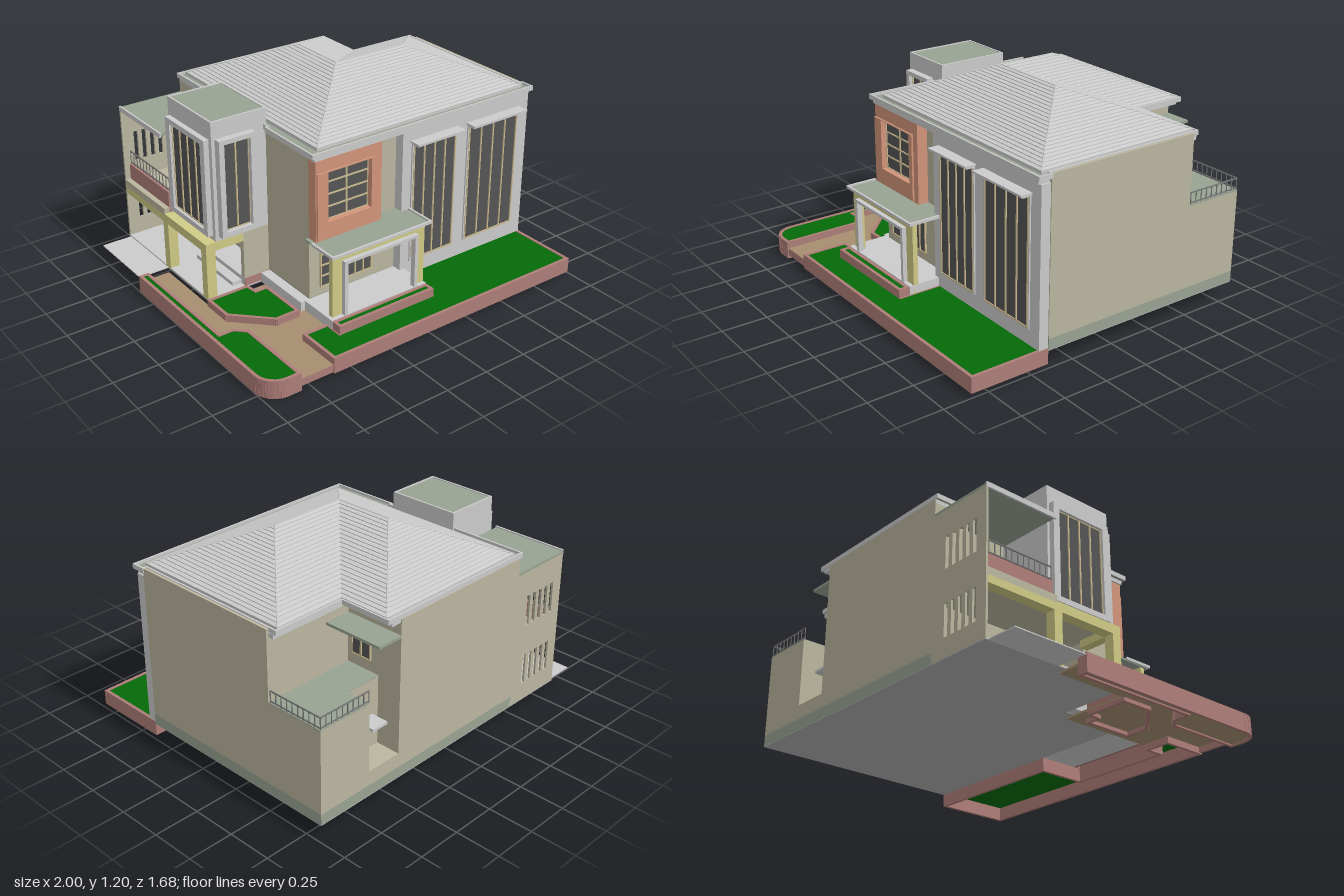
import * as THREE from 'three';

const mats = {};
const mat = (c) => (mats[c] ??= new THREE.MeshStandardMaterial({ color: c, side: THREE.DoubleSide }));
const GREY = 0xcccccc, WALL = 0xbab69f, FLAT = 0x98a392, YELLOW = 0xd0cb86, ORANGE = 0xd2957a;
const BRICK = 0xae7e78, GRASS = 0x056a08, PATH = 0xa68e70, GLASS = 0x555555, TRIM = 0xcbb98f, DARK = 0x777777;

function add(parent, name, color, geo) {
  const m = new THREE.Mesh(geo, mat(color));
  m.name = name;
  parent.add(m);
  return m;
}

// Box given by its limits on each axis
function box(parent, name, color, x0, x1, y0, y1, z0, z1) {
  const m = add(parent, name, color, new THREE.BoxGeometry(x1 - x0, y1 - y0, z1 - z0));
  m.position.set((x0 + x1) / 2, (y0 + y1) / 2, (z0 + z1) / 2);
  return m;
}

// Upright prism over a floor plan of [x, z] points
function prism(parent, name, color, plan, y0, y1) {
  const s = new THREE.Shape(plan.map(([x, z]) => new THREE.Vector2(x, -z)));
  const g = new THREE.ExtrudeGeometry(s, { depth: y1 - y0, bevelEnabled: false });
  g.rotateX(-Math.PI / 2).translate(0, y0, 0);
  return add(parent, name, color, g);
}

// Wall facing z with rectangular holes, each rectangle [x0, x1, y0, y1]
function pierced(parent, name, color, r, holes, z0, z1) {
  const rect = ([a, b, c, d]) => [[a, c], [b, c], [b, d], [a, d]].map((p) => new THREE.Vector2(...p));
  const s = new THREE.Shape(rect(r));
  s.holes = holes.map((h) => new THREE.Path(rect(h)));
  const g = new THREE.ExtrudeGeometry(s, { depth: z1 - z0, bevelEnabled: false });
  return add(parent, name, color, g.translate(0, 0, z0));
}

// Glazed window with glazing bars, facing +z before turning
function pane(parent, name, w, h, cols, rows, x, y, z, turn = 0) {
  const g = new THREE.Group();
  g.name = name;
  box(g, 'glass', GLASS, -w / 2, w / 2, -h / 2, h / 2, -0.004, 0.004);
  for (let i = 0; i <= cols; i++) {
    const u = -w / 2 + (w * i) / cols;
    box(g, 'uprightBar', TRIM, u - 0.004, u + 0.004, -h / 2, h / 2, 0, 0.01);
  }
  for (let i = 0; i <= rows; i++) {
    const v = -h / 2 + (h * i) / rows;
    box(g, 'crossBar', TRIM, -w / 2, w / 2, v - 0.004, v + 0.004, 0, 0.009);
  }
  g.position.set(x, y, z);
  g.rotation.y = turn;
  parent.add(g);
}

// Railing between two floor points
function railing(parent, x0, z0, x1, z1, y0, y1) {
  const len = Math.hypot(x1 - x0, z1 - z0), g = new THREE.Group(), n = Math.round(len / 0.035);
  g.name = 'railing';
  for (const y of [y0 + 0.012, y1 - 0.003]) box(g, 'rail', DARK, 0, len, y - 0.003, y + 0.003, -0.003, 0.003);
  for (let i = 0; i <= n; i++) box(g, 'baluster', DARK, (len * i) / n - 0.002, (len * i) / n + 0.002, y0, y1, -0.002, 0.002);
  g.position.set(x0, 0, z0);
  g.rotation.y = -Math.atan2(z1 - z0, x1 - x0);
  parent.add(g);
}

// Thin upright strip along each edge of a closed plan
function edging(parent, name, color, plan, y0, y1, t) {
  plan.forEach(([x, z], i) => {
    const [X, Z] = plan[(i + 1) % plan.length], len = Math.hypot(X - x, Z - z);
    const k = box(parent, name, color, -len / 2 - t / 2, len / 2 + t / 2, y0, y1, -t / 2, t / 2);
    k.position.set((x + X) / 2, (y0 + y1) / 2, (z + Z) / 2);
    k.rotation.y = -Math.atan2(Z - z, X - x);
  });
}

// Grass sheet with a kerb along its edge
function lawn(parent, plan, y0, y1) {
  prism(parent, 'lawn', GRASS, plan, y1 - 0.01, y1 - 0.004);
  edging(parent, 'kerb', BRICK, plan, y0, y1, 0.018);
}

// Roof slope in overlapping tile courses, from eave a-b to ridge d-c
function slope(parent, a, b, c, d) {
  const pos = [], N = 22, lift = 0.004;
  const at = (p, q, t, up) => [p[0] + (q[0] - p[0]) * t, 0.998 + 0.2 * t + up, p[1] + (q[1] - p[1]) * t];
  const quad = (p, q, r, s) => pos.push(...p, ...q, ...r, ...p, ...r, ...s);
  for (let i = 0; i < N; i++) {
    const t = i / N, u = (i + 1) / N;
    quad(at(a, d, t, 0), at(b, c, t, 0), at(b, c, t, lift), at(a, d, t, lift));
    quad(at(a, d, t, lift), at(b, c, t, lift), at(b, c, u, 0), at(a, d, u, 0));
  }
  const g = new THREE.BufferGeometry();
  g.setAttribute('position', new THREE.Float32BufferAttribute(pos, 3));
  g.computeVertexNormals();
  add(parent, 'roofSlope', GREY, g);
}

export function createModel() {
  const model = new THREE.Group();
  model.name = 'house';
  const part = (name) => {
    const g = new THREE.Group();
    g.name = name;
    model.add(g);
    return g;
  };

  // Main body, with a slot in the back wall and a roof terrace at the back corner
  const body = part('mainBody');
  const full = [[-0.44, -0.84], [0.99, -0.84], [0.99, 0.39], [-0.44, 0.39]];
  const slot = [[-0.44, -0.84], [0.46, -0.84], [0.46, -0.7], [0.67, -0.7], [0.67, -0.84], ...full.slice(1)];
  const upper = [[-0.44, -0.84], [0.46, -0.84], [0.46, -0.5], [0.99, -0.5], [0.99, 0.39], [-0.44, 0.39]];
  box(body, 'underside', 0xb0b0b0, -0.44, 0.99, 0.087, 0.092, -0.84, 0.39);
  box(body, 'underside', 0xb0b0b0, -0.82, -0.44, 0.087, 0.092, -0.84, 0.02);
  prism(body, 'plinth', FLAT, full, 0.09, 0.15);
  prism(body, 'lowerWall', WALL, full, 0.15, 0.23);
  prism(body, 'groundFloor', WALL, slot, 0.23, 0.61);
  prism(body, 'terraceFloor', FLAT, [[0.46, -0.7], [0.67, -0.7], [0.67, -0.84], [0.99, -0.84], [0.99, -0.5], [0.46, -0.5]], 0.608, 0.614);
  prism(body, 'upperFloor', WALL, upper, 0.61, 0.97);
  box(body, 'sideParapet', WALL, 0.975, 0.99, 0.95, 0.995, -0.5, 0.39);
  box(body, 'slotLedge', GREY, 0.5, 0.6, 0.4, 0.415, -0.8, -0.69);
  box(body, 'terraceCanopy', FLAT, 0.46, 0.61, 0.87, 0.885, -0.84, -0.5);
  pane(body, 'terraceWindow', 0.12, 0.16, 2, 1, 0.465, 0.76, -0.595, Math.PI / 2);
  railing(body, 0.985, -0.51, 0.985, -0.835, 0.61, 0.68);
  railing(body, 0.67, -0.835, 0.985, -0.835, 0.61, 0.68);

  // Hipped roof standing in a rimmed gutter on a stepped cornice
  const roof = part('roof');
  const R = [0.04, -0.03], S = [0.49, -0.03], T = [0.04, -0.37];
  const A = [-0.41, 0.42], B = [0.95, 0.42], C = [0.95, -0.53], V = [0.54, -0.53], D = [0.54, -0.82], E = [-0.41, -0.82];
  const gutter = [[-0.45, -0.835], [0.545, -0.835], [0.545, -0.54], [0.968, -0.54], [0.968, 0.39],
    [0.99, 0.39], [0.99, 0.462], [-0.465, 0.462], [-0.465, 0.06], [-0.45, 0.06]];
  prism(roof, 'cornice', GREY, [[-0.44, -0.835], [0.52, -0.835], [0.52, -0.53], [0.975, -0.53], [0.975, 0.455], [-0.45, 0.455]], 0.95, 0.975);
  prism(roof, 'gutterFloor', FLAT, gutter, 0.972, 0.984);
  edging(roof, 'gutterRim', GREY, gutter, 0.972, 0.998, 0.01);
  prism(roof, 'eaveFascia', GREY, [A, B, C, V, D, E], 0.98, 0.998);
  [[A, B, S, R], [B, C, S, S], [C, V, R, S], [V, D, T, R], [D, E, T, T], [E, A, R, T]].forEach((q) => slope(roof, ...q));
  const cap = (p, q, y0) => {
    const curve = new THREE.LineCurve3(new THREE.Vector3(p[0], y0, p[1]), new THREE.Vector3(q[0], 1.198, q[1]));
    add(roof, 'ridgeCap', GREY, new THREE.TubeGeometry(curve, 1, 0.004, 6));
  };
  [[A, R], [B, S], [C, S], [D, T], [E, T]].forEach(([p, q]) => cap(p, q, 1));
  [[R, S], [R, T]].forEach(([p, q]) => cap(p, q, 1.198));

  // Front bay with two tall windows
  const bay = part('frontBay');
  box(bay, 'bayWall', GREY, 0.11, 0.985, 0.1, 0.95, 0.385, 0.445);
  for (const [x0, x1] of [[0.18, 0.46], [0.56, 0.9]]) {
    pierced(bay, 'windowSurround', GREY, [x0 - 0.012, x1 + 0.012, 0.185, 0.88], [[x0, x1, 0.195, 0.87]], 0.445, 0.453);
    pane(bay, 'tallWindow', x1 - x0, 0.675, 4, 1, (x0 + x1) / 2, 0.532, 0.446);
    box(bay, 'hoodLower', GREY, x0 - 0.01, x1 + 0.01, 0.87, 0.882, 0.445, 0.495);
    box(bay, 'hood', GREY, x0 - 0.02, x1 + 0.02, 0.882, 0.892, 0.445, 0.51);
  }

  // Upstairs box window
  const oriel = part('boxWindow');
  pierced(oriel, 'boxFrame', ORANGE, [-0.44, -0.03, 0.5, 0.95], [[-0.37, -0.1, 0.6, 0.875]], 0.385, 0.45);
  pane(oriel, 'boxGlazing', 0.27, 0.275, 2, 4, -0.235, 0.737, 0.42);
  pierced(oriel, 'boxTrim', ORANGE, [-0.435, -0.07, 0.51, 0.88], [[-0.37, -0.1, 0.6, 0.875]], 0.45, 0.46);

  // Entrance porch
  const porch = part('porch');
  box(porch, 'porchFloor', GREY, -0.47, 0.14, 0.09, 0.147, 0.385, 0.625);
  box(porch, 'sideLanding', GREY, -0.495, -0.435, 0.09, 0.145, 0.02, 0.39);
  box(porch, 'porchRoof', FLAT, -0.46, 0.15, 0.492, 0.502, 0.385, 0.62);
  box(porch, 'roofRim', GREY, -0.47, 0.165, 0.495, 0.51, 0.618, 0.63);
  for (const x of [-0.47, 0.153]) box(porch, 'roofRimSide', GREY, x, x + 0.012, 0.495, 0.51, 0.45, 0.625);
  pierced(porch, 'porchArch', YELLOW, [-0.45, 0.14, 0.1, 0.495], [[-0.39, 0.08, 0.145, 0.45]], 0.572, 0.6);
  pierced(porch, 'innerArch', GREY, [-0.39, 0.08, 0.145, 0.456], [[-0.37, 0.06, 0.15, 0.44]], 0.595, 0.625);
  pane(porch, 'porchWindow', 0.11, 0.25, 1, 4, -0.32, 0.325, 0.395);
  pane(porch, 'frontDoor', 0.16, 0.25, 3, 1, -0.13, 0.325, 0.395);
  lawn(porch, [[-0.46, 0.635], [0.13, 0.635], [0.13, 0.68], [-0.46, 0.68]], 0.09, 0.145);

  // Stair tower over the carport, with projecting windows
  const tower = part('tower');
  box(tower, 'towerWall', GREY, -0.76, -0.435, 0.42, 1.075, -0.4, 0.02);
  box(tower, 'towerRoof', FLAT, -0.755, -0.44, 1.075, 1.08, -0.395, 0.015);
  edging(tower, 'towerParapet', GREY, [[-0.755, -0.395], [-0.44, -0.395], [-0.44, 0.015], [-0.755, 0.015]], 1.07, 1.085, 0.01);
  pierced(tower, 'frontWindowFrame', GREY, [-0.74, -0.525, 0.445, 0.99], [[-0.71, -0.555, 0.475, 0.965]], 0.02, 0.06);
  pane(tower, 'frontWindow', 0.155, 0.49, 2, 1, -0.632, 0.72, 0.028);
  const side = pierced(tower, 'sideWindowFrame', GREY, [-0.19, 0.19, 0.445, 0.985], [[-0.15, 0.15, 0.475, 0.955]], 0, 0.03);
  side.position.set(-0.76, 0, -0.195);
  side.rotation.y = -Math.PI / 2;
  pane(tower, 'sideWindow', 0.3, 0.48, 4, 1, -0.766, 0.715, -0.195, -Math.PI / 2);

  // Carport with balcony and flat-roofed wing behind
  const wing = part('carportWing');
  const slits = [];
  for (let i = 0; i < 5; i++) for (const y of [0.195, 0.55]) slits.push([-0.752 + i * 0.05, -0.727 + i * 0.05, y, y + 0.175]);
  pierced(wing, 'slitWall', WALL, [-0.82, -0.43, 0.09, 0.87], slits, -0.84, -0.828);
  box(wing, 'carportFloor', GREY, -0.82, -0.44, 0.092, 0.1, -0.83, 0.02);
  box(wing, 'entryStep', GREY, -0.65, -0.44, 0.1, 0.122, -0.38, -0.015);
  box(wing, 'entryFloor', GREY, -0.595, -0.44, 0.1, 0.145, -0.38, 0.015);
  box(wing, 'entryRiser', BRICK, -0.595, -0.435, 0.1, 0.145, 0.015, 0.025);
  box(wing, 'wingRoof', FLAT, -0.82, -0.435, 0.87, 0.885, -0.84, -0.4);
  box(wing, 'wingRoofRim', GREY, -0.822, -0.812, 0.865, 0.892, -0.84, -0.395);
  box(wing, 'balconyFloor', WALL, -0.82, -0.44, 0.41, 0.45, -0.83, -0.4);
  box(wing, 'balconyParapet', BRICK, -0.79, -0.77, 0.42, 0.54, -0.83, -0.4);
  railing(wing, -0.78, -0.825, -0.78, -0.4, 0.54, 0.62);
  box(wing, 'sideBeam', YELLOW, -0.82, -0.76, 0.37, 0.42, -0.83, 0.02);
  box(wing, 'frontBeam', YELLOW, -0.76, -0.595, 0.37, 0.42, -0.03, 0.02);
  box(wing, 'carportCeiling', WALL, -0.78, -0.44, 0.41, 0.42, -0.42, 0.015);
  for (const z of [-0.03, -0.42]) box(wing, 'carportPost', YELLOW, -0.82, -0.765, 0.09, 0.37, z, z + 0.05);
  box(wing, 'entryWall', WALL, -0.595, -0.435, 0.1, 0.42, -0.01, 0.02);

  // Garage ramp
  box(part('ramp'), 'garageRamp', GREY, -0.995, -0.82, 0.086, 0.092, -0.825, -0.4);

  // Garden: path and kerbed lawns
  const garden = part('garden');
  prism(garden, 'path', PATH, [[-0.95, -0.395], [-0.82, -0.395], [-0.82, 0.02], [-0.44, 0.02], [-0.44, 0.58], [-0.61, 0.58],
    [-0.61, 0.83], [-0.81, 0.83], [-0.81, 0.39], [-0.87, 0.33], [-0.95, 0.33]], 0.05, 0.062);
  box(garden, 'pathEdge', BRICK, -0.81, -0.61, 0.02, 0.06, 0.815, 0.832);
  const corner = [0, 1, 2, 3, 4, 5, 6].map((i) => {
    const t = (i / 6) * Math.PI / 2;
    return [-0.88 - 0.11 * Math.cos(t), 0.72 + 0.11 * Math.sin(t)];
  });
  const sideLawn = [[-0.99, -0.39], ...corner, [-0.815, 0.83], [-0.815, 0.39], [-0.87, 0.335], [-0.95, 0.335], [-0.95, -0.39]];
  lawn(garden, sideLawn, 0, 0.1);
  prism(garden, 'lawnBed', PATH, sideLawn, 0.008, 0.014);
  lawn(garden, [[-0.82, 0.03], [-0.59, 0.03], [-0.58, 0.1], [-0.51, 0.1], [-0.51, 0.38], [-0.64, 0.38], [-0.82, 0.2]], 0.03, 0.1);
  lawn(garden, [[-0.605, 0.58], [-0.465, 0.58], [-0.465, 0.68], [0.135, 0.68], [0.135, 0.4], [0.98, 0.4], [0.98, 0.83], [-0.605, 0.83]], 0.015, 0.1);
  return model;
}
